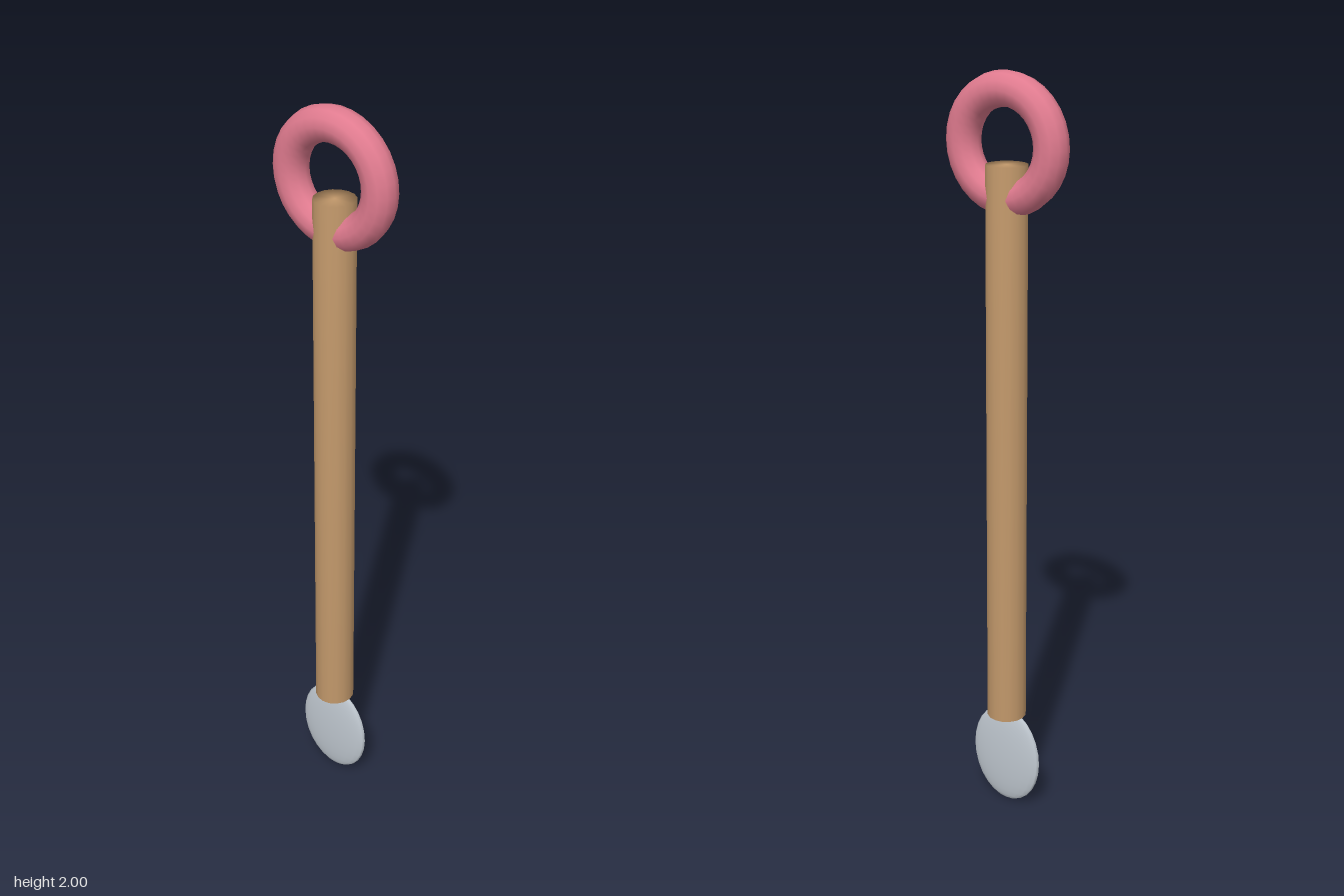
import * as THREE from 'three';

const material = (name, color) => {
  const m = new THREE.MeshStandardMaterial({ color });
  m.name = name;
  return m;
};

export function createModel() {
  const group = new THREE.Group();
  const wood = material('wood', 0xc49a6c);
  const pink = material('pink', 0xe07b8f);
  const steel = material('steel', 0xc0c8d0);

  const add = (name, geometry, mat, y) => {
    const mesh = new THREE.Mesh(geometry, mat);
    mesh.name = name;
    mesh.position.y = y;
    group.add(mesh);
    return mesh;
  };

  // Handle: closed rod whose normals blend softly into both end caps
  const profile = [[0, 0.272], [0.053, 0.272], [0.053, 1.777], [0, 1.777]];
  add('handle', new THREE.LatheGeometry(profile.map(([x, y]) => new THREE.Vector2(x, y)), 16), wood, 0);

  // Hanging ring passing through the top of the handle
  add('hangingRing', new THREE.TorusGeometry(0.132, 0.044, 12, 32), pink, 1.826);

  // Flat oval blade at the foot
  const blade = new THREE.SphereGeometry(1, 20, 14);
  blade.scale(0.11, 0.142, 0.018);
  add('blade', blade, steel, 0.146);

  return group;
}
